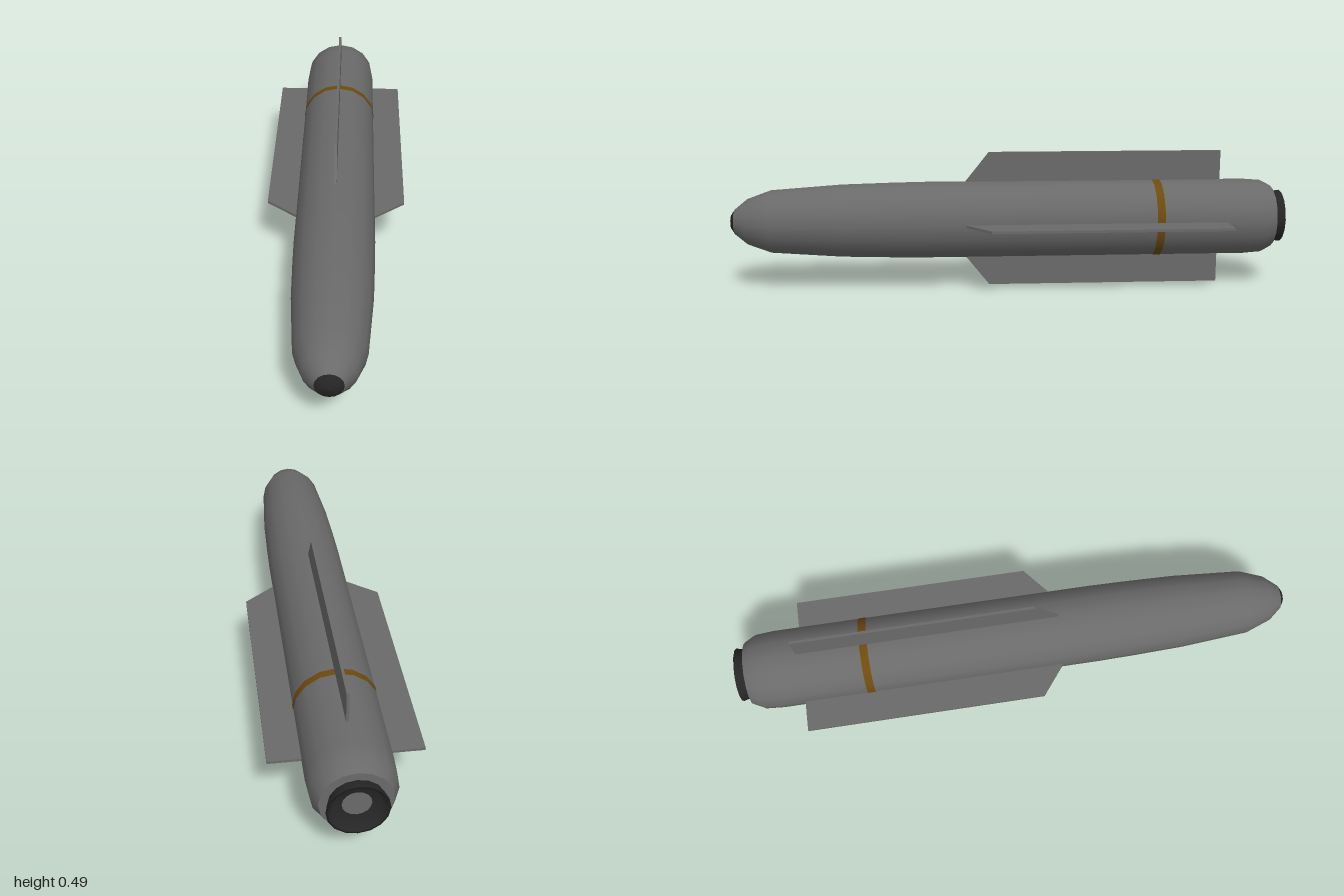
import * as THREE from 'three';

const AXIS_Y = 0.245;
const SIDES = 16;

function material(name, color, side = THREE.FrontSide) {
  const m = new THREE.MeshStandardMaterial({ color, side });
  m.name = name;
  return m;
}

// Lathe along z; profile is [radius, z] from back to front.
function turned(name, profile, mat) {
  const points = profile.map(([r, z]) => new THREE.Vector2(r, z));
  const geometry = new THREE.LatheGeometry(points, SIDES).rotateX(Math.PI / 2);
  const mesh = new THREE.Mesh(geometry, mat);
  mesh.name = name;
  return mesh;
}

export function createModel() {
  const model = new THREE.Group();
  model.name = 'finnedMissile';
  const assembly = new THREE.Group();
  assembly.name = 'assembly';
  assembly.position.y = AXIS_Y;
  model.add(assembly);

  const grey = material('body grey', 0x6a6a6a);
  const dark = material('dark metal', 0x262626, THREE.DoubleSide);
  const brown = material('band brown', 0x6e4b0e);

  // Body with rounded tail edge and tapering nose
  assembly.add(turned('body', [
    [0.113, -0.965], [0.134, -0.925], [0.139, -0.86], [0.139, -0.4], [0.139, 0.3],
    [0.137, 0.42], [0.132, 0.6], [0.114, 0.85], [0.083, 0.935], [0.045, 0.982],
  ], grey));
  assembly.add(turned('tailPlate', [[0, -0.965], [0.113, -0.965]], grey));

  // Dark seeker window on the nose tip
  assembly.add(turned('noseWindow', [[0.045, 0.982], [0.025, 0.995], [0, 1]], dark));

  // Painted band around the rear body
  assembly.add(turned('band', [[0.1405, -0.552], [0.1405, -0.524]], brown));

  // Flared open exhaust nozzle
  assembly.add(turned('nozzle', [
    [0.0, -0.97], [0.07, -0.97], [0.088, -1], [0.096, -1], [0.086, -0.965],
  ], dark));
  assembly.add(turned('nozzleCore', [[0, -0.973], [0.045, -0.973]], grey));

  // Four long clipped fins
  const thickness = 0.009;
  const outline = new THREE.Shape([
    [-0.775, 0.12], [0.175, 0.12], [0.155, 0.139], [0.07, 0.245], [-0.775, 0.245],
  ].map(([z, r]) => new THREE.Vector2(z, r)));
  const finGeometry = new THREE.ExtrudeGeometry(outline, { depth: thickness, bevelEnabled: false });
  finGeometry.rotateY(-Math.PI / 2).translate(thickness / 2, 0, 0);
  ['topFin', 'leftFin', 'bottomFin', 'rightFin'].forEach((name, i) => {
    const fin = new THREE.Mesh(finGeometry, grey);
    fin.name = name;
    fin.rotation.z = -i * Math.PI / 2;
    assembly.add(fin);
  });

  return model;
}
